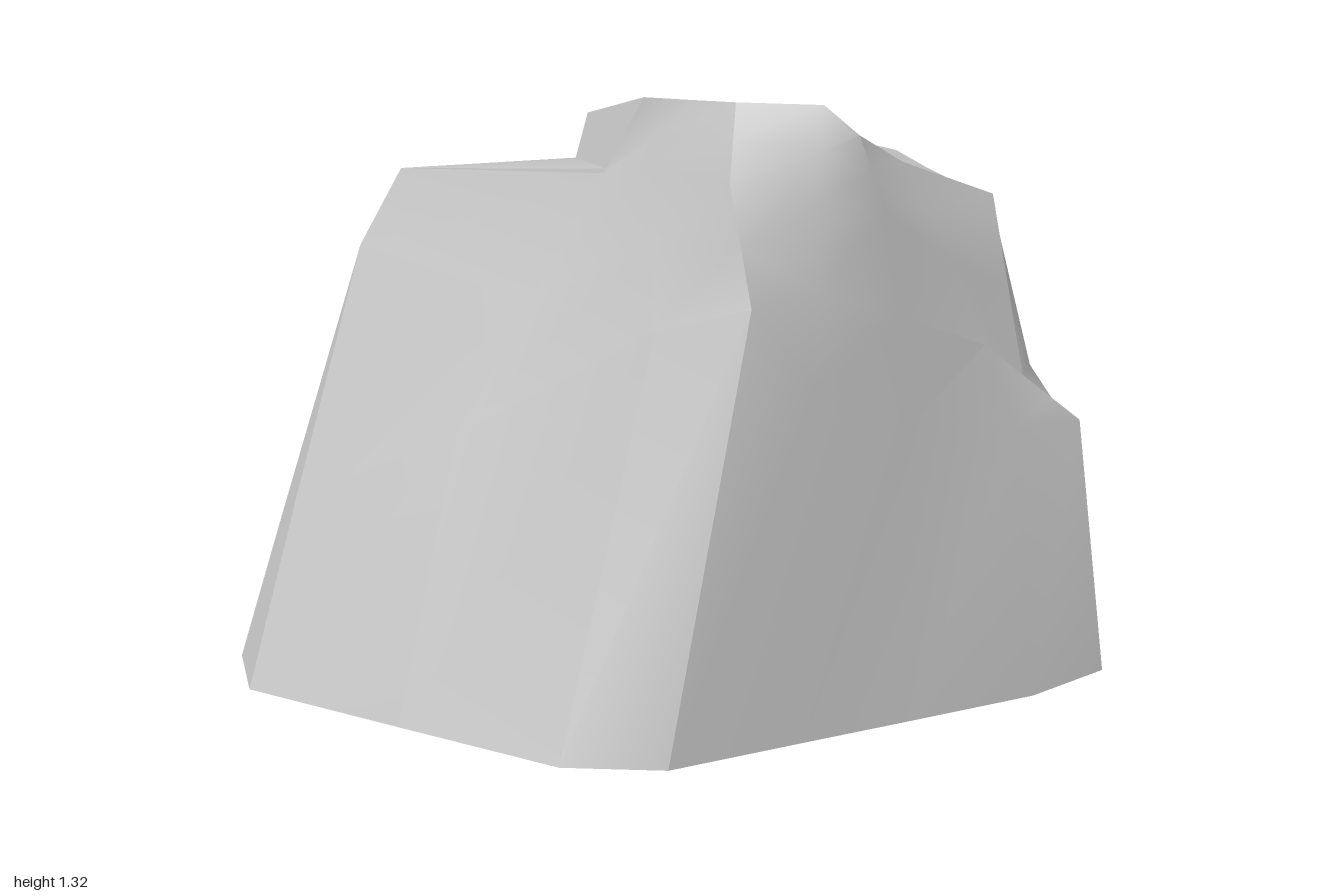
import * as THREE from 'three';
import { toCreasedNormals } from 'three/addons/utils/BufferGeometryUtils.js';

// Each column climbs the rock: base, middle, (high), shoulder, (foot of upper step), rim.
const frontColumns = [
  [[-0.04, 0, 0.71], [0.135, 0.92, 0.58], [0.1, 1.16, 0.47], [0.12, 1.32, 0.38]],
  [[0.25, 0, 0.575], [0.28, 0.75, 0.53], [0.29, 1.13, 0.47], [0.3, 1.315, 0.4]],
  [[0.5, 0, 0.46], [0.5, 0.65, 0.41], [0.43, 1.1, 0.4], [0.37, 1.255, 0.43]],
  [[0.8, 0, 0.32], [0.76, 0.6, 0.25], [0.6, 0.97, 0.27], [0.5, 1.18, 0.2]],
];
const rightColumns = [
  [[1, 0, 0.16], [0.94, 0.58, 0.1], [0.8, 0.69, 0.12], [0.71, 1.105, 0.16]],
  [[0.92, 0, -0.1], [0.88, 0.58, -0.05], [0.845, 0.69, 0], [0.76, 1.06, -0.07]],
  [[0.84, 0, -0.37], [0.79, 0.42, -0.3], [0.77, 0.78, -0.25], [0.71, 1.09, -0.19]],
  [[0.77, 0, -0.37], [0.76, 0.4, -0.34], [0.7, 0.8, -0.42], [0.65, 1.12, -0.32]],
];
const backColumns = [
  [[0.6, 0, -0.71], [0.62, 0.47, -0.67], [0.6, 0.83, -0.6], [0.6, 1.15, -0.45]],
  [[0.45, 0, -0.67], [0.45, 0.48, -0.66], [0.48, 0.85, -0.62], [0.5, 1.07, -0.59]],
  [[0.25, 0, -0.625], [0.25, 0.5, -0.64], [0.25, 0.9, -0.63], [0.24, 1.19, -0.6]],
  [[0, 0, -0.565], [0, 0.55, -0.62], [0.03, 0.95, -0.625], [0.12, 1.2, -0.635]],
  [[-0.15, 0, -0.53], [-0.09, 0.58, -0.665], [-0.082, 1.19, -0.553], [-0.08, 1.21, -0.55]],
];
// These columns carry the lower ledge.
const ledgeColumns = [
  [[-0.25, 0, -0.56], [-0.34, 0.71, -0.63], [-0.21, 1.07, -0.51], [-0.14, 1.11, -0.33], [-0.08, 1.23, -0.4]],
  [[-0.5, 0, -0.4], [-0.45, 0.65, -0.59], [-0.4, 1.055, -0.445], [-0.155, 1.12, -0.28], [-0.11, 1.24, -0.34]],
  [[-0.7, 0, -0.27], [-0.65, 0.52, -0.39], [-0.58, 1.04, -0.38], [-0.17, 1.13, -0.24], [-0.14, 1.25, -0.28]],
  [[-1, 0, -0.07], [-0.91, 0.31, -0.21], [-0.6, 1.085, -0.32], [-0.185, 1.145, -0.2], [-0.16, 1.255, -0.25]],
];
const leftColumns = [
  [[-0.95, 0, 0.17], [-0.86, 0.38, -0.07], [-0.71, 0.95, -0.26], [-0.61, 1.13, -0.26], [-0.2, 1.16, -0.17], [-0.17, 1.26, -0.23]],
  [[-0.6, 0, 0.43], [-0.47, 0.6, 0.25], [-0.145, 1.15, 0.11], [-0.14, 1.16, 0.112], [-0.06, 1.32, 0.19]],
  [[-0.26, 0, 0.68], [-0.05, 0.85, 0.42], [-0.06, 1.18, 0.25], [-0.03, 1.25, 0.26], [0.03, 1.32, 0.29]],
];

const midpoint = (p, q) => p.map((v, k) => (v + q[k]) / 2);

// Brings every column to six levels by adding halfway points.
function complete(column) {
  const levels = [...column];
  if (levels.length === 4) levels.splice(3, 0, midpoint(levels[2], levels[3]));
  if (levels.length === 5) levels.splice(2, 0, midpoint(levels[1], levels[2]));
  return levels;
}

function creasedMesh(name, triangles, material, crease) {
  const geometry = new THREE.BufferGeometry();
  geometry.setAttribute('position', new THREE.Float32BufferAttribute(triangles.flat(2), 3));
  const mesh = new THREE.Mesh(toCreasedNormals(geometry, crease), material);
  mesh.name = name;
  return mesh;
}

export function createModel() {
  const stone = new THREE.MeshStandardMaterial({ color: 0xc4c4c4, side: THREE.DoubleSide });
  stone.name = 'grey stone';

  // Hollow shell, open underneath; faces part along the sharp ridges
  const sides = [
    { name: 'frontRightFace', columns: frontColumns, crease: 1.1 },
    { name: 'rightFace', columns: rightColumns, crease: 1.3 },
    { name: 'backFace', columns: [...backColumns, ...ledgeColumns], crease: 0.9 },
    { name: 'leftSlope', columns: leftColumns, crease: 1.1 },
  ];
  const ring = sides.flatMap((side) => side.columns).map(complete);
  const ledgeStart = ring.length - leftColumns.length - ledgeColumns.length - 1;
  const ledgeEnd = ring.length - leftColumns.length;
  const peak = [0.3, 1.235, -0.1];
  const step = [];
  const cap = [];
  const rock = new THREE.Group();
  rock.name = 'rock';

  let i = 0;
  for (const { name, columns, crease } of sides) {
    const face = [];
    for (let n = 0; n < columns.length; n++, i++) {
      const a = ring[i];
      const b = ring[(i + 1) % ring.length];
      for (let j = 0; j < 5; j++) {
        const onStep = j >= 3 && i >= ledgeStart && i <= ledgeEnd;
        (onStep ? step : face).push([a[j], b[j], b[j + 1]], [a[j], b[j + 1], a[j + 1]]);
      }
      cap.push([peak, a[5], b[5]]);
    }
    rock.add(creasedMesh(name, face, stone, crease));
  }
  rock.add(creasedMesh('ledge', step, stone, 0.6));
  rock.add(creasedMesh('rockTop', cap, stone, 1));
  return rock;
}
